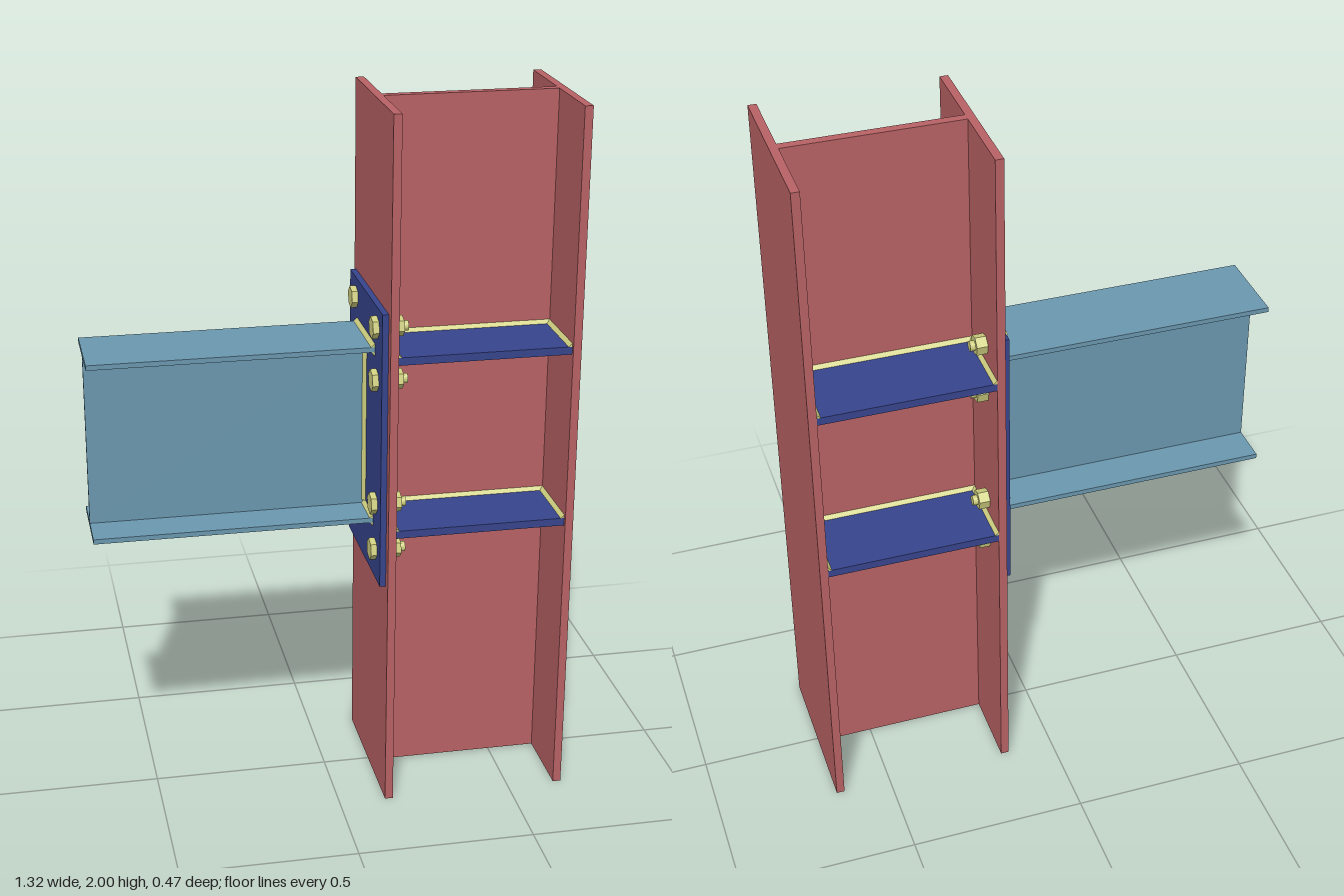
import * as THREE from 'three';

const paint = (color) => new THREE.MeshStandardMaterial({ color, flatShading: true });

export function createModel() {
  const model = new THREE.Group();
  const red = paint(0xb76164), steel = paint(0x6a97ae), blue = paint(0x36448c), yellow = paint(0xcfcf80);

  const add = (name, geometry, material, parent = model) => {
    const mesh = new THREE.Mesh(geometry, material);
    mesh.name = name;
    parent.add(mesh);
    return mesh;
  };

  // Box given by its lower and upper corners
  const block = (name, lo, hi, material) => {
    const size = hi.map((h, i) => h - lo[i]);
    add(name, new THREE.BoxGeometry(...size), material)
      .position.set(...hi.map((h, i) => (h + lo[i]) / 2));
  };

  // I-section extruded along z; flanges lie at +y and -y
  const iSection = (width, depth, flange, web, length) => {
    const w = width / 2, d = depth / 2, t = web / 2, f = d - flange;
    const outline = [[-w, -d], [w, -d], [w, -f], [t, -f], [t, f], [w, f],
      [w, d], [-w, d], [-w, f], [-t, f], [-t, -f], [-w, -f]];
    const shape = new THREE.Shape(outline.map(([x, y]) => new THREE.Vector2(x, y)));
    return new THREE.ExtrudeGeometry(shape, { depth: length, bevelEnabled: false });
  };

  // Triangular weld bead: corner point, two leg directions, run centred on the corner
  const weld = (name, corner, u, v, length, leg = 0.01) => {
    const shape = new THREE.Shape([[0, 0], [leg, 0], [0, leg]].map((p) => new THREE.Vector2(...p)));
    const g = new THREE.ExtrudeGeometry(shape, { depth: length, bevelEnabled: false });
    g.translate(0, 0, -length / 2);
    const a = new THREE.Vector3(...u), b = new THREE.Vector3(...v);
    g.applyMatrix4(new THREE.Matrix4().makeBasis(a, b, a.clone().cross(b)));
    g.translate(...corner);
    add(name, g, yellow);
  };

  // Column
  const column = iSection(0.47, 0.527, 0.023, 0.025, 2);
  column.rotateZ(Math.PI / 2).rotateX(-Math.PI / 2).translate(0.3965, 0, 0);
  add('column', column, red);

  // Beam
  const beam = iSection(0.235, 0.516, 0.014, 0.01, 0.779);
  beam.rotateY(Math.PI / 2).translate(-0.663, 1.081, 0);
  add('beam', beam, steel);

  // End plate
  block('endPlate', [0.116, 0.667, -0.213], [0.133, 1.46, 0.208], blue);

  // Stiffeners, each welded on top to the web and both flanges
  for (const top of [1.343, 0.839]) {
    for (const [side, outer] of [[-1, 0.235], [1, 0.225]]) {
      const inner = 0.0125, zMid = side * (inner + outer) / 2;
      const z = [side * inner, side * outer].sort((a, b) => a - b);
      block('stiffener', [0.156, top - 0.022, z[0]], [0.637, top, z[1]], blue);
      weld('stiffenerWebWeld', [0.3965, top, side * inner], [0, 1, 0], [0, 0, side], 0.481);
      weld('stiffenerFlangeWeld', [0.1565, top, zMid], [1, 0, 0], [0, 1, 0], outer - inner);
      weld('stiffenerFlangeWeld', [0.6365, top, zMid], [0, 1, 0], [-1, 0, 0], outer - inner);
    }
  }

  // Beam welds on the end plate
  for (const s of [-1, 1]) {
    weld('beamWebWeld', [0.116, 1.081, s * 0.005], [-1, 0, 0], [0, 0, s], 0.47);
    weld('beamOuterWeld', [0.116, 1.081 + s * 0.258, 0], [-1, 0, 0], [0, s, 0], 0.235);
    for (const side of [-1, 1]) {
      weld('beamInnerWeld', [0.116, 1.081 + s * 0.244, side * 0.061], [-1, 0, 0], [0, -s, 0], 0.112);
    }
  }

  // Bolts: hexagonal head, shank and nut along x
  const rod = (radius, x0, x1, sides) => {
    const g = new THREE.CylinderGeometry(radius, radius, x1 - x0, sides);
    g.rotateZ(-Math.PI / 2).rotateX(Math.PI / 12).translate((x0 + x1) / 2, 0, 0);
    return g;
  };
  const head = rod(0.031, 0.099, 0.117, 6);
  const nut = rod(0.028, 0.155, 0.186, 6);
  const shank = rod(0.014, 0.105, 0.2, 16);
  for (const y of [1.405, 1.255, 0.893, 0.755]) {
    for (const z of [-0.132, 0.143]) {
      const bolt = new THREE.Group();
      bolt.name = 'bolt';
      bolt.position.set(0, y, z);
      add('boltHead', head, yellow, bolt);
      add('boltShank', shank, yellow, bolt);
      add('boltNut', nut, yellow, bolt);
      model.add(bolt);
    }
  }

  return model;
}
